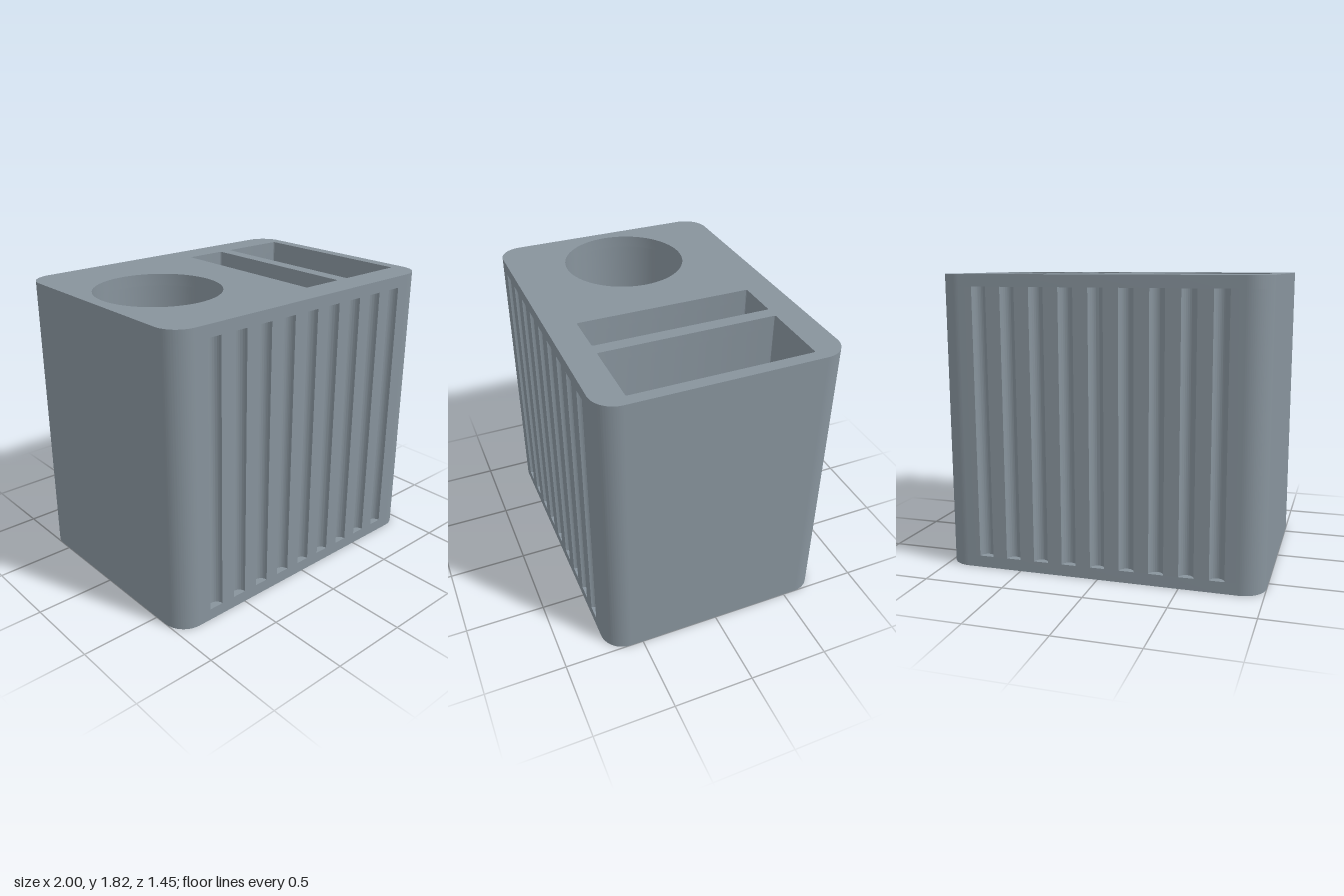
import * as THREE from 'three';
import { toCreasedNormals } from 'three/addons/utils/BufferGeometryUtils.js';

const W = 1, D = 0.727, H = 1.818;       // half width, half depth, height
const CORNER = 0.145;                    // vertical corner radius
const WALL = 0.073;                      // floor and rim thickness
const GROOVES = 9, PITCH = 0.1818, GROOVE_R = 0.0455;

// Traces a rounded rectangle, optionally with half-round grooves in its long edges
function roundedRect(path, x0, x1, d, r, groovesX = []) {
  path.moveTo(x0 + r, -d);
  for (const x of groovesX) {
    path.lineTo(x - GROOVE_R, -d);
    path.absarc(x, -d, GROOVE_R, Math.PI, 0, true);
  }
  path.lineTo(x1 - r, -d);
  path.absarc(x1 - r, -d + r, r, -Math.PI / 2, 0, false);
  path.lineTo(x1, d - r);
  path.absarc(x1 - r, d - r, r, 0, Math.PI / 2, false);
  for (const x of [...groovesX].reverse()) {
    path.lineTo(x + GROOVE_R, d);
    path.absarc(x, d, GROOVE_R, 0, Math.PI, true);
  }
  path.lineTo(x0 + r, d);
  path.absarc(x0 + r, d - r, r, Math.PI / 2, Math.PI, false);
  path.lineTo(x0, -d + r);
  path.absarc(x0 + r, -d + r, r, Math.PI, Math.PI * 1.5, false);
  return path;
}

// The round cup well and the two rectangular compartments
function compartments() {
  const cup = new THREE.Path();
  cup.absarc(-0.5455, 0, 0.382, 0, Math.PI * 2, true);
  return [
    cup,
    roundedRect(new THREE.Path(), 0.137, 0.408, 0.5455, 0.009),
    roundedRect(new THREE.Path(), 0.49, 0.927, 0.5455, 0.009),
  ];
}

export function createModel() {
  const group = new THREE.Group();
  group.name = 'deskOrganizer';
  const material = new THREE.MeshStandardMaterial({ color: 0x87939c });
  material.name = 'slate grey';

  // Extrudes one horizontal layer of the block from y0 to y1
  function layer(name, y0, y1, groovesX, hollow) {
    const shape = roundedRect(new THREE.Shape(), -W, W, D, CORNER, groovesX);
    if (hollow) shape.holes.push(...compartments());
    const geometry = new THREE.ExtrudeGeometry(shape, { depth: y1 - y0, bevelEnabled: false, curveSegments: 32 });
    geometry.rotateX(-Math.PI / 2);
    geometry.translate(0, y0, 0);
    const mesh = new THREE.Mesh(toCreasedNormals(geometry, 0.6), material);
    mesh.name = name;
    group.add(mesh);
  }

  const groovesX = Array.from({ length: GROOVES }, (_, i) => (i - (GROOVES - 1) / 2) * PITCH);
  layer('floor', 0, WALL, [], false);
  layer('groovedBody', WALL, H - WALL, groovesX, true);
  layer('topRim', H - WALL, H, [], true);
  return group;
}
